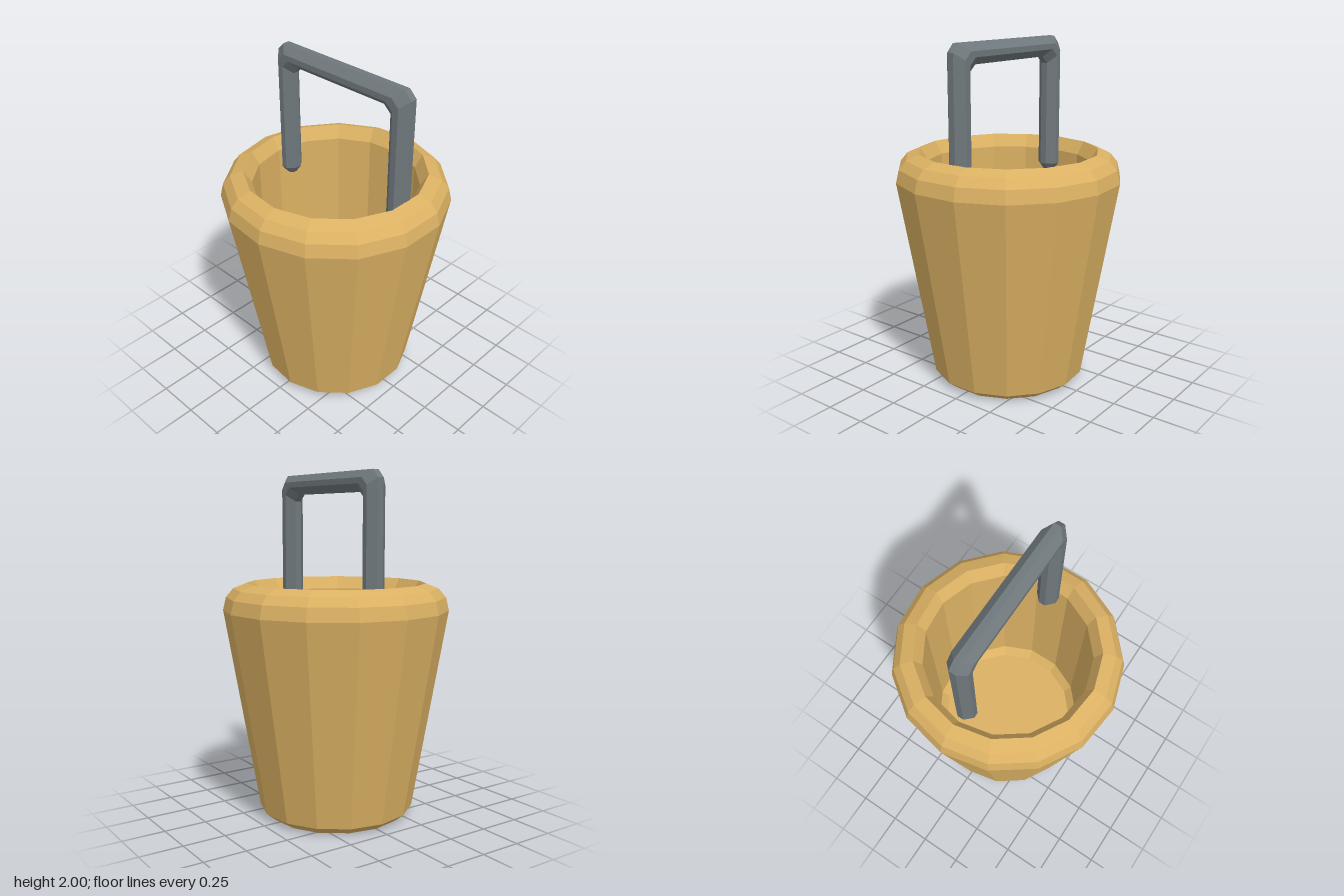
import * as THREE from 'three';

const wood = new THREE.MeshStandardMaterial({ color: 0xdbb163, flatShading: true });
const iron = new THREE.MeshStandardMaterial({ color: 0x6f787c, flatShading: true });

// Chamfered-square bar swept through sections given by an outer and an inner [z, y] point
function chamferedBar(sections, xCentre, halfWidth, flatHalf) {
  const ring = [
    [-flatHalf, 0], [flatHalf, 0], [halfWidth, 0.36], [halfWidth, 0.64],
    [flatHalf, 1], [-flatHalf, 1], [-halfWidth, 0.64], [-halfWidth, 0.36],
  ];
  const n = ring.length;
  const positions = [];
  const index = [];
  for (const { outer, inner, scale = 1 } of sections) {
    for (const [x, t] of ring) {
      positions.push(
        xCentre + x * scale,
        THREE.MathUtils.lerp(outer[1], inner[1], t),
        THREE.MathUtils.lerp(outer[0], inner[0], t),
      );
    }
  }
  for (let s = 0; s < sections.length - 1; s++) {
    for (let i = 0; i < n; i++) {
      const a = s * n + i, b = s * n + (i + 1) % n;
      index.push(a, b, b + n, a, b + n, a + n);
    }
  }
  // End caps
  const last = (sections.length - 1) * n;
  for (let i = 1; i < n - 1; i++) {
    index.push(0, i + 1, i);
    index.push(last, last + i, last + i + 1);
  }
  const geometry = new THREE.BufferGeometry();
  geometry.setAttribute('position', new THREE.Float32BufferAttribute(positions, 3));
  geometry.setIndex(index);
  geometry.computeVertexNormals();
  return geometry;
}

export function createModel() {
  const group = new THREE.Group();

  // Tapered 15-sided bucket: underside, outer wall, rounded rim, inner wall, floor
  const profile = [
    [0, 0], [0.4, 0], [0.455, 0.045], [0.655, 1.22],
    [0.637, 1.295], [0.595, 1.345], [0.52, 1.375],
    [0.475, 1.3], [0.46, 0.26], [0.415, 0.21], [0, 0.21],
  ].map(([r, y]) => new THREE.Vector2(r, y));
  const bucket = new THREE.Mesh(new THREE.LatheGeometry(profile, 15, Math.PI), wood);
  bucket.name = 'bucket';
  group.add(bucket);

  // Square-arched handle with chamfered corners, legs ending just inside the rim
  const handle = new THREE.Mesh(chamferedBar([
    { outer: [0.475, 1.195], inner: [0.415, 1.195], scale: 0.45 },
    { outer: [0.51, 1.24], inner: [0.38, 1.24] },
    { outer: [0.51, 1.955], inner: [0.38, 1.845] },
    { outer: [0.465, 2], inner: [0.335, 1.885] },
    { outer: [-0.395, 2], inner: [-0.28, 1.885] },
    { outer: [-0.44, 1.955], inner: [-0.325, 1.845] },
    { outer: [-0.44, 1.24], inner: [-0.325, 1.24] },
    { outer: [-0.41, 1.195], inner: [-0.355, 1.195], scale: 0.45 },
  ], 0.0175, 0.0625, 0.019), iron);
  handle.name = 'handle';
  group.add(handle);

  return group;
}
